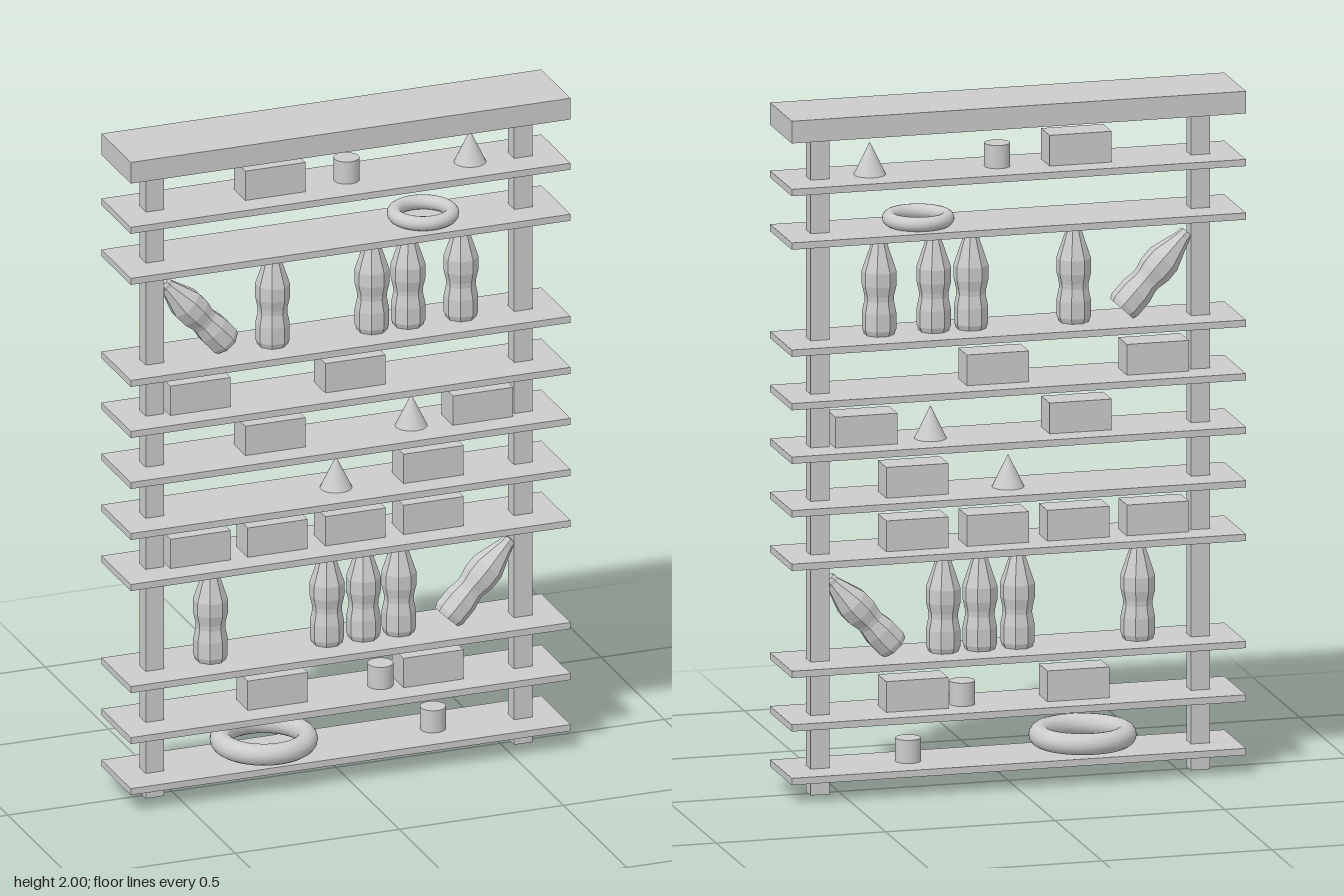
import * as THREE from 'three';

export function createModel() {
  const root = new THREE.Group();
  const smooth = new THREE.MeshStandardMaterial({ color: 0xcccccc });
  const faceted = new THREE.MeshStandardMaterial({ color: 0xcccccc, flatShading: true });

  const add = (name, geometry, x, y, z = 0, material = smooth) => {
    const mesh = new THREE.Mesh(geometry, material);
    mesh.name = name;
    mesh.position.set(x, y, z);
    root.add(mesh);
    return mesh;
  };

  // Frame: top beam and two posts
  add('topBeam', new THREE.BoxGeometry(1.34, 0.065, 0.232), 0, 1.9675);
  const postGeo = new THREE.BoxGeometry(0.056, 1.94, 0.05);
  for (const s of [-1, 1]) add(s > 0 ? 'leftPost' : 'rightPost', postGeo, s * 0.561, 0.97);

  // Evenly spaced shelves, leaving out two levels for the tall bottles
  const level = (i) => 0.067 + i * 0.1567;
  const top = (i) => level(i) + 0.01;
  const shelfGeo = new THREE.BoxGeometry(1.34, 0.02, 0.232);
  for (let i = 0; i < 12; i++) {
    if (i !== 3 && i !== 9) add('shelf', shelfGeo, 0, level(i));
  }

  // Boxes: [shelf, x]
  const boxGeo = new THREE.BoxGeometry(0.183, 0.09, 0.09);
  const boxes = [
    [1, -0.195], [1, 0.28],
    [4, -0.43], [4, -0.195], [4, 0.042], [4, 0.28],
    [5, 0.28], [6, -0.202], [6, 0.43],
    [7, -0.43], [7, 0.042], [11, -0.202],
  ];
  for (const [i, x] of boxes) add('box', boxGeo, x, top(i) + 0.045);

  // Cans
  const canGeo = new THREE.CylinderGeometry(0.037, 0.037, 0.068, 32);
  for (const [i, x] of [[0, 0.295], [1, 0.135], [11, 0.032]]) add('can', canGeo, x, top(i) + 0.034);

  // Cones
  const coneGeo = new THREE.ConeGeometry(0.046, 0.095, 32);
  for (const [i, x] of [[5, 0], [6, 0.229], [11, 0.408]]) add('cone', coneGeo, x, top(i) + 0.0475);

  // Rings lying flat
  const ring = (x, y, radius, tube) => {
    add('ring', new THREE.TorusGeometry(radius, tube, 16, 48), x, y).rotation.x = Math.PI / 2;
  };
  ring(-0.22, 0.121, 0.123, 0.031);
  ring(0.265, 1.664, 0.082, 0.021);

  // Bottles with a waist, sloping shoulder and lip
  const profile = [
    [0, 0], [0.043, 0], [0.049, 0.015], [0.049, 0.065], [0.042, 0.1], [0.043, 0.115],
    [0.05, 0.145], [0.05, 0.185], [0.044, 0.203], [0.022, 0.268], [0.022, 0.28], [0.018, 0.287], [0, 0.287],
  ].map(([r, y]) => new THREE.Vector2(r, y));
  const bottleGeo = new THREE.LatheGeometry(profile, 8).rotateY(Math.PI / 8);
  const bottle = (x, y, tilt = 0) => {
    add('bottle', bottleGeo, x, y, 0.004, faceted).rotation.z = tilt;
  };
  for (const x of [-0.384, -0.029, 0.082, 0.19]) bottle(x, top(2));
  for (const x of [-0.195, 0.108, 0.218, 0.379]) bottle(x, top(8));

  // One leaning bottle on each tall shelf
  bottle(0.336, 0.414, -0.74);
  bottle(-0.336, 1.358, 0.74);

  return root;
}
